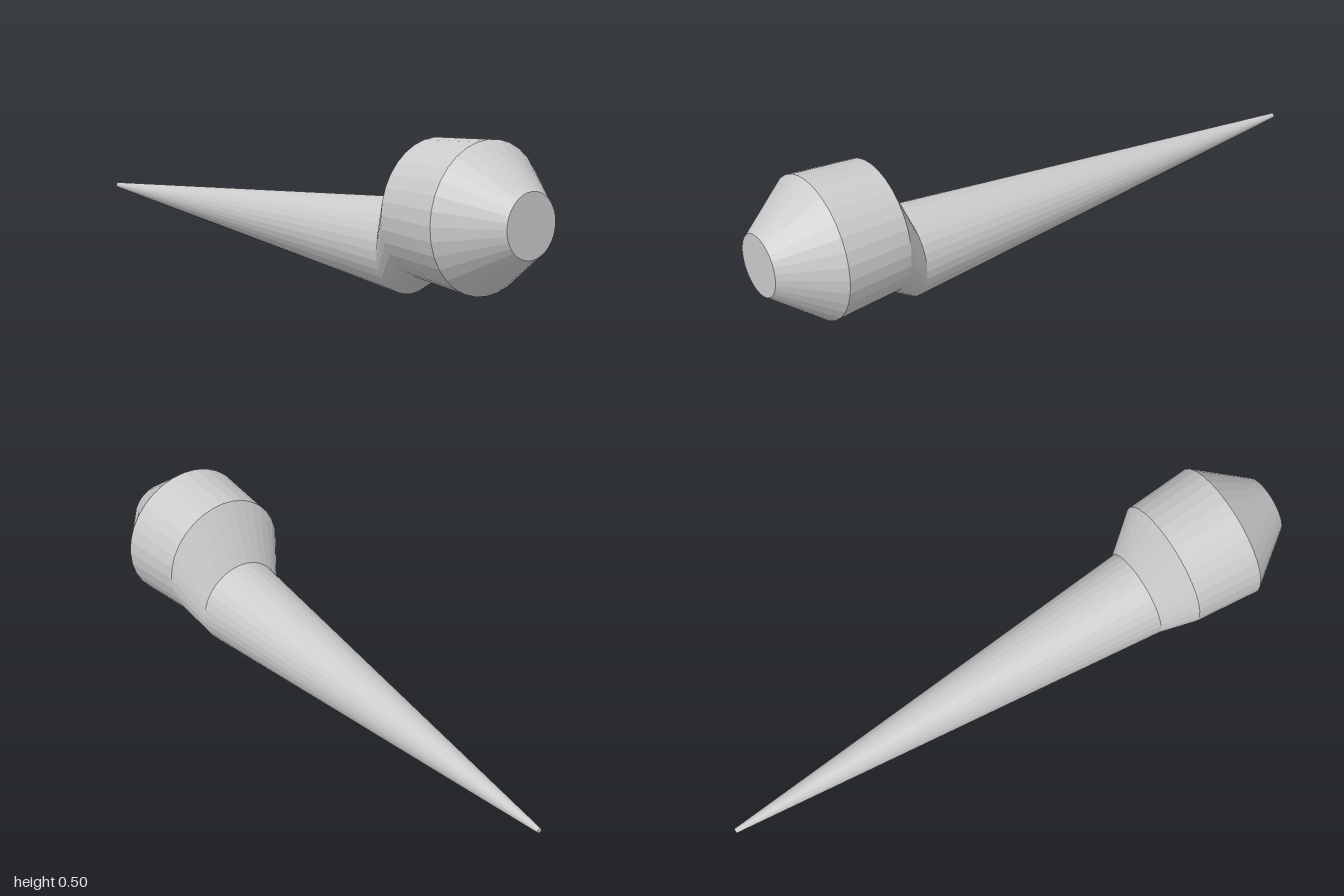
import * as THREE from 'three';

const SIDES = 32;

// Circular cross-sections along z, front to back
const rings = [
  { z: 1.0, y: 0.274, r: 0.1 },
  { z: 0.825, y: 0.274, r: 0.231 },
  { z: 0.602, y: 0.276, r: 0.213 },
  { z: 0.508, y: 0.149, r: 0.148 },
  { z: -1.0, y: 0.156, r: 0.008 },
];
const names = ['headNose', 'headBody', 'neck', 'spike'];

export function createModel() {
  const group = new THREE.Group();
  const material = new THREE.MeshStandardMaterial({ color: 0xcccccc, flatShading: true });

  const add = (name, geometry) => {
    const mesh = new THREE.Mesh(geometry, material);
    mesh.name = name;
    group.add(mesh);
    return mesh;
  };

  // Tapered tube between two rings, sheared so its ends meet both centres
  const section = (front, back) => {
    const length = front.z - back.z;
    const geometry = new THREE.CylinderGeometry(front.r, back.r, length, SIDES, 1, true);
    geometry.rotateX(Math.PI / 2);
    geometry.translate(0, 0, (front.z + back.z) / 2);
    const p = geometry.attributes.position;
    for (let i = 0; i < p.count; i++) {
      const t = (front.z - p.getZ(i)) / length;
      p.setY(i, p.getY(i) + THREE.MathUtils.lerp(front.y, back.y, t));
    }
    geometry.computeVertexNormals();
    return geometry;
  };

  names.forEach((name, i) => add(name, section(rings[i], rings[i + 1])));

  // Flat discs closing the nose and the spike tip
  const first = rings[0];
  const last = rings[rings.length - 1];
  add('noseCap', new THREE.CircleGeometry(first.r, SIDES)).position.set(0, first.y, first.z);
  const tip = add('tipCap', new THREE.CircleGeometry(last.r, SIDES));
  tip.position.set(0, last.y, last.z);
  tip.rotation.y = Math.PI;

  return group;
}
